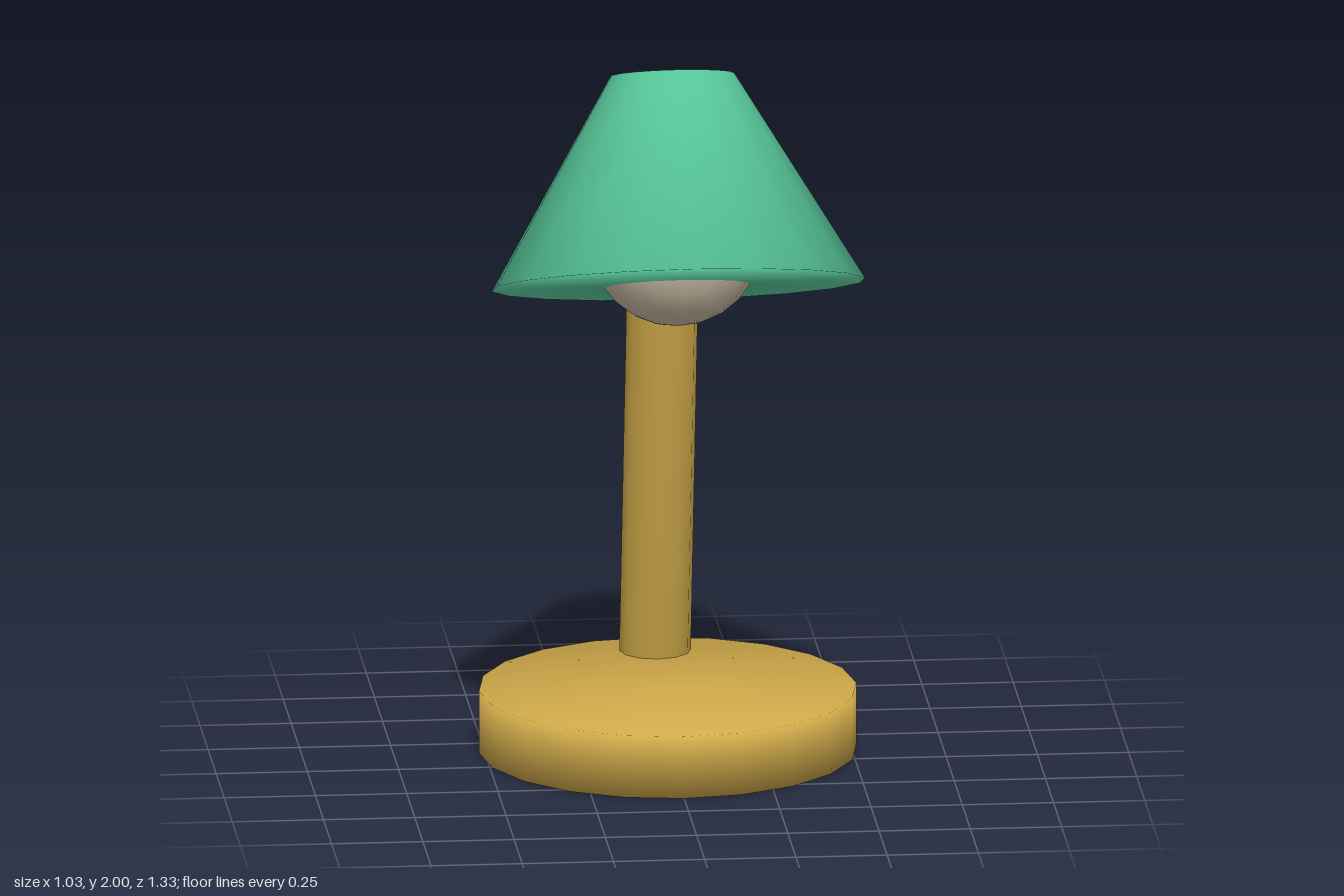
import * as THREE from 'three';
import { mergeVertices } from 'three/addons/utils/BufferGeometryUtils.js';

// Weld all corners so the normals run smoothly over every edge
function weld(geometry) {
  geometry.deleteAttribute('normal');
  geometry.deleteAttribute('uv');
  const welded = mergeVertices(geometry, 1e-4);
  welded.computeVertexNormals();
  return welded;
}

export function createModel() {
  const lamp = new THREE.Group();
  lamp.name = 'deskLamp';

  const material = (name, color) => {
    const m = new THREE.MeshStandardMaterial({ color });
    m.name = name;
    return m;
  };
  const brass = material('brass', 0xd0aa4a);
  const green = material('green', 0x56c498);
  const warmGrey = material('warmGrey', 0xcabba4);

  // Adds a part centred at (0, y, z), tilted about x by a number of degrees
  const add = (name, geometry, mat, y, z, tilt = 0) => {
    const mesh = new THREE.Mesh(weld(geometry), mat);
    mesh.name = name;
    mesh.position.set(0, y, z);
    mesh.rotation.x = THREE.MathUtils.degToRad(tilt);
    lamp.add(mesh);
  };

  // Round foot
  add('base', new THREE.CylinderGeometry(0.517, 0.517, 0.175, 20), brass, 0.0875, -0.148);

  // Leaning arm, its lower end sunk into the base
  const armLength = 1.68;
  const lean = THREE.MathUtils.degToRad(12);
  add('arm', new THREE.CylinderGeometry(0.098, 0.098, armLength, 12), brass,
    1.737 - Math.cos(lean) * armLength / 2, -0.205 - Math.sin(lean) * armLength / 2, 12);

  // Closed conical shade, tipped forward
  add('shade', new THREE.CylinderGeometry(0.17, 0.512, 0.575, 18), green, 1.674, 0.087, -20);

  // Bulb showing below the shade
  add('bulb', new THREE.SphereGeometry(0.24, 16, 12), warmGrey, 1.512, 0.1, -20);

  return lamp;
}
